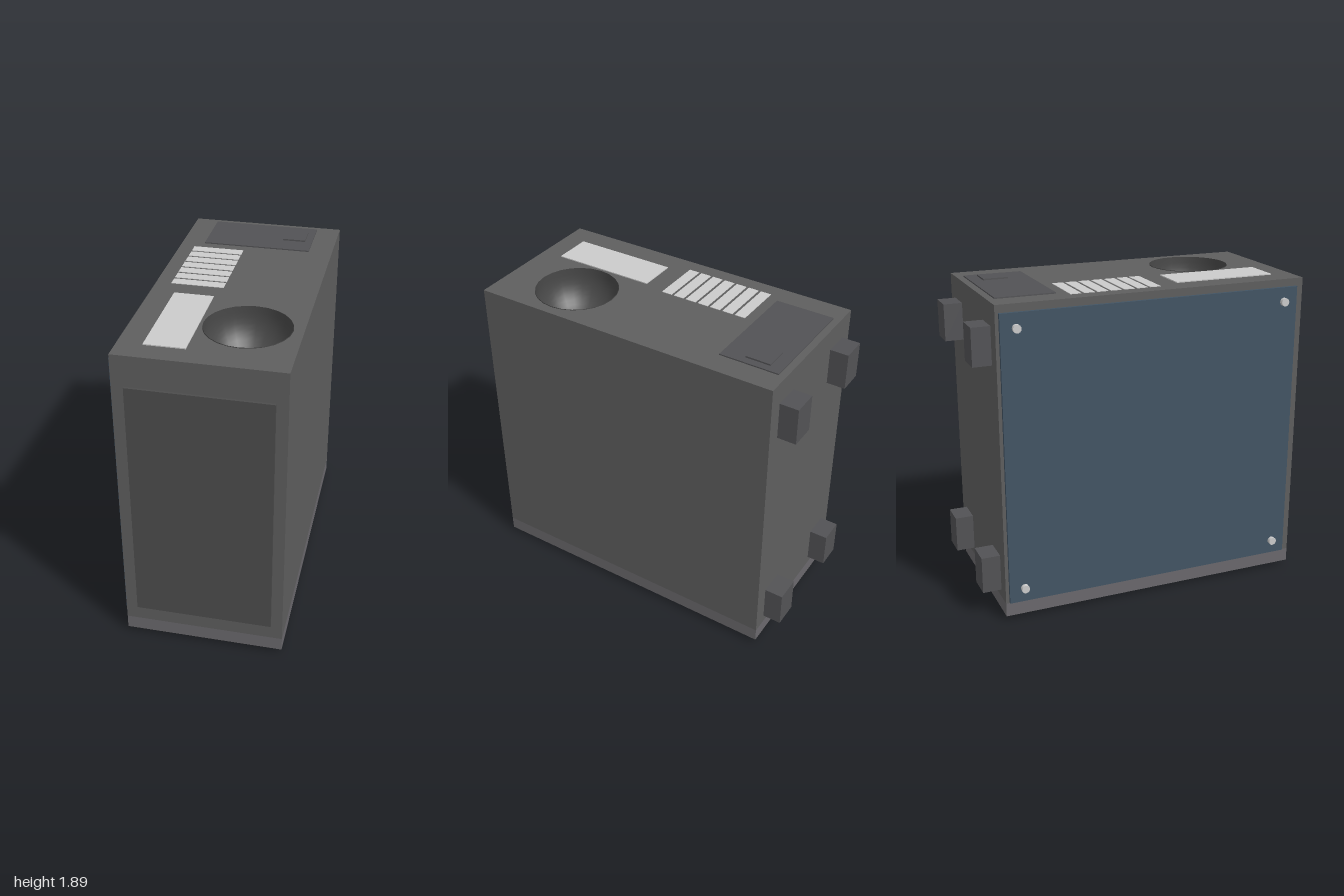
import * as THREE from 'three';

const mat = (color) => new THREE.MeshStandardMaterial({ color });
const caseGrey = mat(0x5e5e5e);
const panelGrey = mat(0x4c4c4c);
const trimGrey = mat(0x525255);
const baseGrey = mat(0x6a686c);
const light = mat(0xcccccc);
const glass = mat(0x425464);
const blue = mat(0x78abca);
const bowlGrey = mat(0x484848);
bowlGrey.side = THREE.DoubleSide;

export function createModel() {
  const model = new THREE.Group();

  const add = (name, geometry, material) => {
    const mesh = new THREE.Mesh(geometry, material);
    mesh.name = name;
    model.add(mesh);
    return mesh;
  };
  // Box given by its limits on each axis
  const box = (name, [x0, x1], [y0, y1], [z0, z1], material) =>
    add(name, new THREE.BoxGeometry(x1 - x0, y1 - y0, z1 - z0), material)
      .position.set((x0 + x1) / 2, (y0 + y1) / 2, (z0 + z1) / 2);

  const X = [-0.445, 0.48], Z = [-0.89, 0.985];
  const TOP = 1.87, BASE = 0.11;
  const bowl = { x: 0.18, z: 0.543, r: 0.243 };

  // Main case, with a round opening in the top for the bowl
  const outline = new THREE.Shape([
    new THREE.Vector2(X[0], -Z[1]), new THREE.Vector2(X[1], -Z[1]),
    new THREE.Vector2(X[1], -Z[0]), new THREE.Vector2(X[0], -Z[0]),
  ]);
  outline.holes.push(new THREE.Path().absarc(bowl.x, -bowl.z, bowl.r, 0, Math.PI * 2, true));
  const shell = new THREE.ExtrudeGeometry(outline, {
    depth: TOP - BASE, bevelEnabled: false, curveSegments: 12,
  });
  shell.rotateX(-Math.PI / 2).translate(0, BASE, 0);
  add('caseBody', shell, caseGrey);

  // Sunken hemispherical bowl with a short upright lip
  const profile = [];
  const r = bowl.r - 0.002;
  for (let i = 0; i <= 12; i++) {
    const a = (i / 12) * Math.PI / 2;
    profile.push(new THREE.Vector2(r * Math.sin(a), -0.035 - r * Math.cos(a)));
  }
  profile.push(new THREE.Vector2(r, 0.003));
  add('bowl', new THREE.LatheGeometry(profile, 24), bowlGrey).position.set(bowl.x, TOP, bowl.z);

  // Base strip, underside panel and its badge
  box('baseStrip', X, [0.027, BASE], Z, baseGrey);
  box('undersidePanel', [-0.375, 0.415], [0.017, 0.03], [-0.775, 0.81], panelGrey);
  box('undersideBadge', [-0.09, 0.125], [0, 0.02], [-0.025, 0.195], blue);

  // Front and side panels
  box('frontPanel', [-0.375, 0.415], [0.205, 1.69], [0.98, 1], panelGrey);
  box('sideGlass', [-0.463, -0.443], [0.115, 1.825], [-0.87, 0.94], glass);

  // Screws at the corners of the side panel
  for (const y of [0.2, 1.74]) {
    for (const z of [-0.78, 0.853]) {
      const screw = add('screw', new THREE.CylinderGeometry(0.024, 0.024, 0.03, 16), light);
      screw.rotation.z = Math.PI / 2;
      screw.position.set(-0.471, y, z);
    }
  }

  // Rear blocks
  for (const x of [-0.28, 0.315]) {
    for (const y of [0.268, 1.628]) {
      box('rearFoot', [x - 0.076, x + 0.076], [y - 0.11, y + 0.11], [-1, -0.885], trimGrey);
    }
  }

  // Top control panel and button
  box('topPanel', [-0.305, 0.34], [1.86, 1.877], [-0.848, -0.498], trimGrey);
  box('button', [0.158, 0.297], [1.87, 1.886], [-0.778, -0.63], trimGrey);

  // Vent slats and the pale plate
  for (let i = 0; i < 7; i++) {
    const z = -0.401 + i * 0.0797;
    box('ventSlat', [-0.355, -0.05], [1.86, 1.873], [z - 0.032, z + 0.032], light);
  }
  box('topPlate', [-0.305, -0.078], [1.86, 1.876], [0.233, 0.854], light);

  return model;
}
